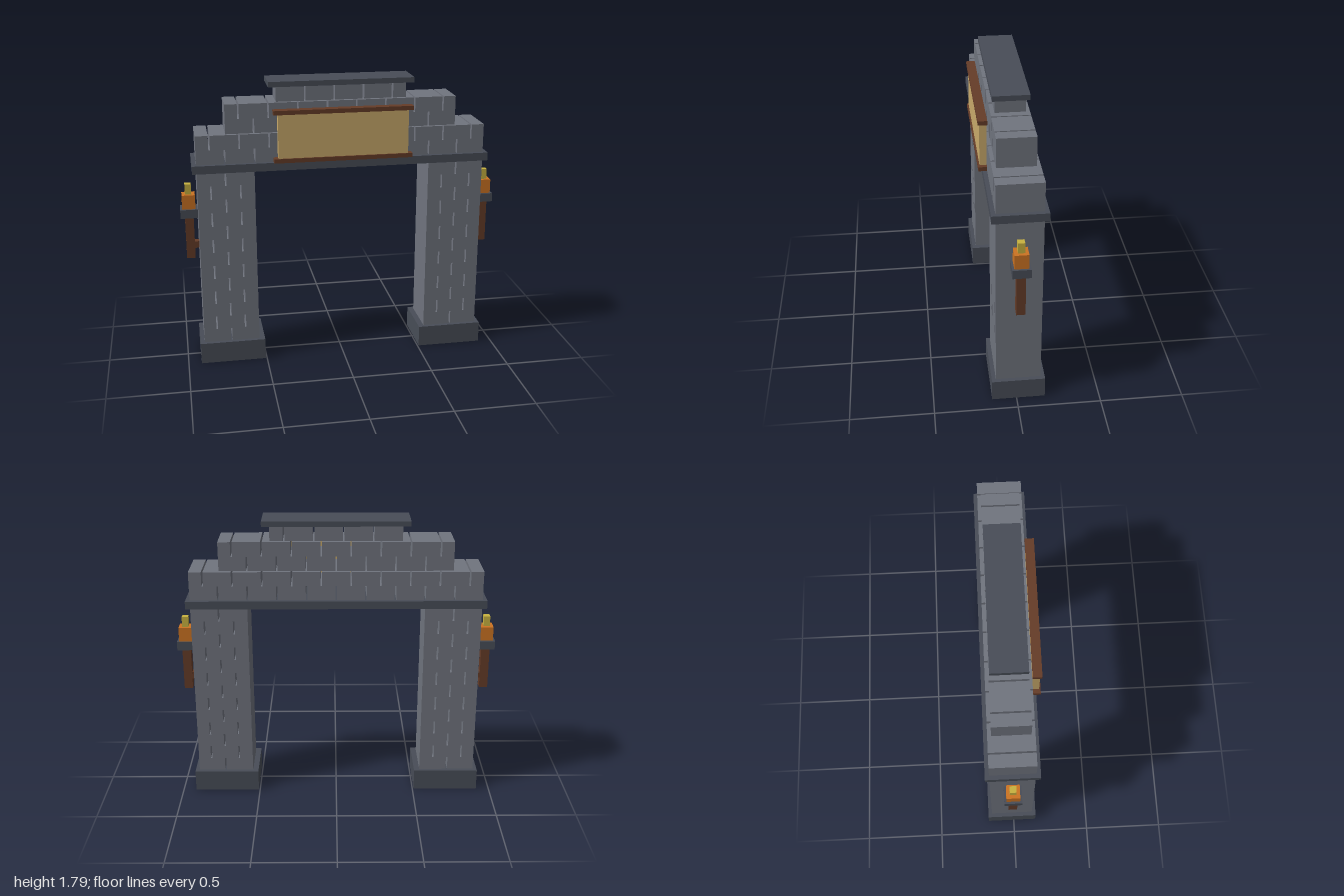
import * as THREE from 'three';

const mat = (name, color) => Object.assign(new THREE.MeshStandardMaterial({ color }), { name });
const ZC = -0.012; // depth centre of the masonry

export function createModel() {
  const stone = mat('stone', 0x70747e);
  const slate = mat('darkSlate', 0x484d57);
  const wood = mat('wood', 0x653c28);
  const parchment = mat('parchment', 0xc9aa6b);
  const flame = mat('flameOrange', 0xcc7322);
  const glow = mat('flameYellow', 0xc8b240);

  const model = new THREE.Group();
  model.name = 'stoneGate';

  // Box given by its lower and upper limits on each axis
  const box = (parent, name, material, [x0, x1], [y0, y1], [z0, z1]) => {
    const mesh = new THREE.Mesh(new THREE.BoxGeometry(x1 - x0, y1 - y0, z1 - z0), material);
    mesh.position.set((x0 + x1) / 2, (y0 + y1) / 2, (z0 + z1) / 2);
    mesh.name = name;
    parent.add(mesh);
  };
  const depth = (d) => [ZC - d / 2, ZC + d / 2];

  // Course of bricks between x0 and x1, with open joints every 0.18 from an offset
  const GAP = 0.01, PITCH = 0.18;
  const course = (parent, [x0, x1], y, z, offset) => {
    let start = x0;
    for (let k = -6; k <= 6; k++) {
      const joint = offset + k * PITCH;
      if (joint < x0 + 0.03 || joint > x1 - 0.03) continue;
      box(parent, 'brick', stone, [start, joint - GAP / 2], y, z);
      start = joint + GAP / 2;
    }
    box(parent, 'brick', stone, [start, x1], y, z);
  };
  // Stacked courses with joints staggered by half a brick
  const wall = (name, x, [y0, y1], z, rows) => {
    const group = new THREE.Group();
    group.name = name;
    const h = (y1 - y0) / rows;
    for (let r = 0; r < rows; r++) {
      course(group, x, [y0 + r * h, y0 + (r + 1) * h], z, r % 2 ? PITCH / 2 : 0);
    }
    model.add(group);
  };

  // Pillars on plinths
  for (const [side, s] of [['left', 1], ['right', -1]]) {
    const span = (a, b) => (s > 0 ? [a, b] : [-b, -a]);
    box(model, side + 'Plinth', slate, span(0.508, 0.918), [0, 0.135], depth(0.32));
    wall(side + 'Pillar', span(0.543, 0.892), [0.135, 1.255], depth(0.27), 13);

    // Wall torch on the outer face
    const torch = new THREE.Group();
    torch.name = side + 'Torch';
    box(torch, 'torchBracket', wood, span(0.89, 0.925), [0.737, 0.78], depth(0.04));
    box(torch, 'torchHandle', wood, span(0.92, 0.973), [0.673, 0.95], depth(0.053));
    box(torch, 'torchCup', slate, span(0.893, 1), [0.945, 1], depth(0.107));
    box(torch, 'torchFlame', flame, span(0.906, 0.987), [1, 1.09], depth(0.082));
    box(torch, 'torchFlameTip', glow, span(0.927, 0.966), [1.09, 1.155], depth(0.04));
    model.add(torch);
  }

  // Lintel slab and stepped masonry above it
  box(model, 'lintel', slate, [-0.918, 0.918], [1.255, 1.305], depth(0.32));
  wall('lowerTier', [-0.892, 0.892], [1.305, 1.483], depth(0.27), 2);
  wall('middleTier', [-0.71, 0.71], [1.483, 1.663], depth(0.225), 2);
  const top = new THREE.Group();
  top.name = 'topTier';
  course(top, [-0.4, 0.4], [1.663, 1.755], depth(0.178), -0.225);
  model.add(top);
  box(model, 'capstone', slate, [-0.447, 0.447], [1.755, 1.787], depth(0.216));

  // Blank signboard with wooden rails
  const sign = new THREE.Group();
  sign.name = 'signboard';
  box(sign, 'signPanel', parchment, [-0.4, 0.4], [1.333, 1.602], [0.123, 0.165]);
  for (const [name, y] of [['signLowerRail', 1.307], ['signUpperRail', 1.602]]) {
    box(sign, name, wood, [-0.427, 0.427], [y, y + 0.026], [0.12, 0.174]);
  }
  model.add(sign);

  return model;
}
